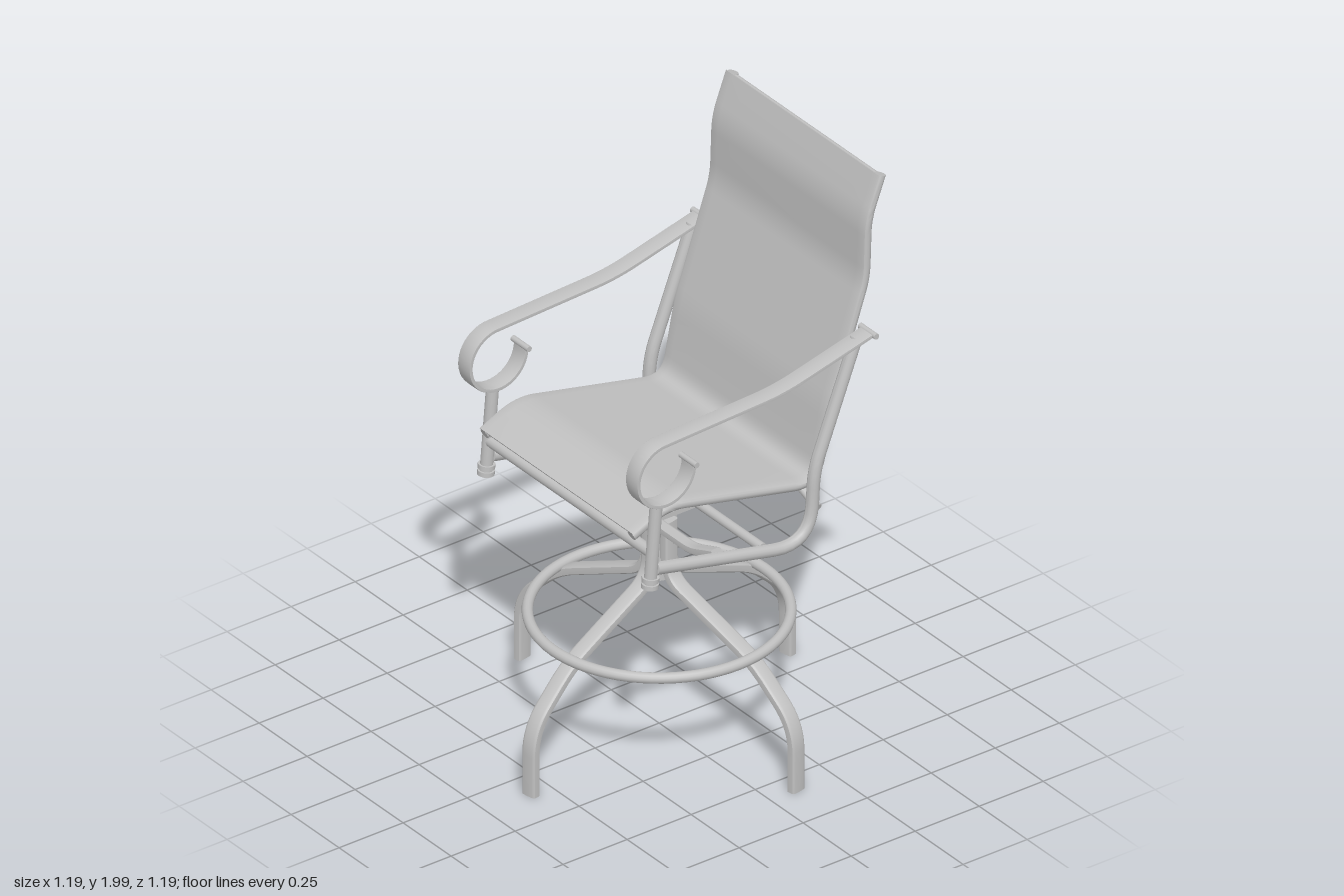
import * as THREE from 'three';
import { toCreasedNormals } from 'three/addons/utils/BufferGeometryUtils.js';

const metal = new THREE.MeshStandardMaterial({ color: 0xc0c0c0 });
metal.name = 'silver grey';

// Polyline [a, b, cut] with each corner rounded over the distance "cut"
function rounded(pts, cut = 0.05, steps = 8) {
  const v = pts.map(p => new THREE.Vector2(p[0], p[1]));
  const out = [v[0]];
  for (let i = 1; i < v.length - 1; i++) {
    const c = pts[i][2] ?? cut;
    const toward = q => v[i].clone().add(q.clone().sub(v[i]).setLength(c));
    const bend = new THREE.QuadraticBezierCurve(toward(v[i - 1]), v[i], toward(v[i + 1]));
    out.push(...bend.getPoints(steps));
  }
  out.push(v[v.length - 1]);
  return out;
}

// Sweep a capped section along a path in the xy plane; width runs along z.
// power 1 is an ellipse, smaller values approach a rectangle.
function sweep(path, halfWidth, halfThick, { power = 1, shift = 0, sides = 14 } = {}) {
  const pos = [], idx = [], n = path.length;
  const bulge = c => Math.sign(c) * Math.abs(c) ** power;
  path.forEach((p, i) => {
    const t = path[Math.min(i + 1, n - 1)].clone().sub(path[Math.max(i - 1, 0)]).normalize();
    for (let j = 0; j < sides; j++) {
      const a = j / sides * Math.PI * 2;
      const off = shift + halfThick * bulge(Math.sin(a));
      pos.push(p.x - t.y * off, p.y + t.x * off, halfWidth * bulge(Math.cos(a)));
    }
  });
  for (let j = 0; j < sides; j++) {
    const k = (j + 1) % sides, e = (n - 1) * sides;
    for (let i = 0; i < n - 1; i++) {
      const a = i * sides + j, b = i * sides + k;
      idx.push(a, a + sides, b, b, a + sides, b + sides);
    }
    if (j > 0 && j < sides - 1) idx.push(0, j, k, e, e + k, e + j);
  }
  const g = new THREE.BufferGeometry();
  g.setAttribute('position', new THREE.Float32BufferAttribute(pos, 3));
  g.setIndex(idx);
  return toCreasedNormals(g, 0.65);
}

// Same sweep with the path given as (z, y) and the width along x
const sideSweep = (...args) => sweep(...args).rotateY(-Math.PI / 2);

export function createModel() {
  const model = new THREE.Group();
  model.name = 'swivelBarChair';
  const add = (name, geometry, x = 0, y = 0, z = 0, parent = model) => {
    const m = new THREE.Mesh(geometry, metal);
    m.name = name;
    m.position.set(x, y, z);
    parent.add(m);
    return m;
  };
  const rod = (name, length, r, x, y, z) =>
    add(name, new THREE.CylinderGeometry(r, r, length, 14).rotateZ(Math.PI / 2), x, y, z);

  // Sling and its two bent rails share one profile, from the top to the front lip
  const profile = rounded([[-0.577, 1.985], [-0.522, 1.84], [-0.515, 1.63],
    [-0.375, 1.22], [-0.322, 0.948, 0.09], [0.26, 1.078, 0.07], [0.395, 1.015]]);
  add('sling', sideSweep(profile, 0.4, 0.003, { power: 0.2, shift: 0.017 }));
  rod('topBar', 0.76, 0.012, 0, 1.972, -0.574);

  // Arm: sloping band ending in a scroll
  const arm = rounded([[-0.485, 1.465], [-0.14, 1.378], [0.32, 1.357]], 0.08);
  for (let i = 1; i <= 32; i++) {
    const a = Math.PI / 2 - i / 32 * Math.PI * 1.5;
    arm.push(new THREE.Vector2(0.32 + 0.109 * Math.cos(a), 1.248 + 0.109 * Math.sin(a)));
  }
  const lower = rounded([[0.335, 0.895], [-0.27, 0.763, 0.15], [-0.285, 1.03, 0.06], [-0.45, 1.455]]);

  for (const s of [-1, 1]) {
    const side = s > 0 ? 'left' : 'right';
    add(side + 'SlingRail', sideSweep(profile, 0.017, 0.018), s * 0.383);
    add(side + 'LowerFrame', sideSweep(lower, 0.021, 0.021), s * 0.427);
    add(side + 'Arm', sideSweep(arm, 0.031, 0.007, { power: 0.25, sides: 16 }), s * 0.437);
    rod(side + 'ArmRearEnd', 0.085, 0.01, s * 0.437, 1.467, -0.49);
    rod(side + 'ArmScrollEnd', 0.085, 0.01, s * 0.437, 1.252, 0.211);

    // Front post with a ringed foot
    const post = new THREE.Group();
    post.name = side + 'FrontPost';
    post.position.set(s * 0.427, 0.83, 0.357);
    post.rotation.x = -0.085;
    model.add(post);
    add('postTube', new THREE.CylinderGeometry(0.021, 0.021, 0.31, 14), 0, 0.155, 0, post);
    for (const y of [0.012, 0.034])
      add('postRing', new THREE.CylinderGeometry(0.028, 0.028, 0.015, 16), 0, y, 0, post);
  }

  // Cross bars between the two sides
  rod('frontBar', 0.84, 0.02, 0, 0.955, 0.345);
  const arch = new THREE.QuadraticBezierCurve(new THREE.Vector2(-0.425, 0.885),
    new THREE.Vector2(0, 1.07), new THREE.Vector2(0.425, 0.885)).getPoints(28);
  add('rearArch', sweep(arch, 0.015, 0.015), 0, 0, -0.3);
  const dip = rounded([[-0.42, 0.86], [-0.3, 0.815], [0.3, 0.815], [0.42, 0.86]], 0.04);
  add('frontSeatSupport', sweep(dip, 0.02, 0.015, { power: 0.5 }), 0, 0, 0.09);
  rod('rearSeatSupport', 0.84, 0.016, 0, 0.812, -0.09);

  // Swivel
  add('swivelPlate', new THREE.BoxGeometry(0.12, 0.018, 0.22), 0, 0.791, 0);
  add('swivelPost', new THREE.CylinderGeometry(0.033, 0.033, 0.25, 20), 0, 0.665, 0);

  // Base: four bent legs and a foot ring
  const base = new THREE.Group();
  base.name = 'base';
  base.rotation.y = THREE.MathUtils.degToRad(10);
  model.add(base);
  const legPath = rounded([[0.043, 0.762], [0.043, 0.555, 0.07], [0.2, 0.487, 0.05],
    [0.41, 0.395, 0.07], [0.586, 0.235, 0.09], [0.586, 0]]);
  const leg = sweep(legPath, 0.028, 0.016, { power: 0.45, sides: 16 });
  for (let i = 0; i < 4; i++) add('leg', leg, 0, 0, 0, base).rotation.y = i * Math.PI / 2;
  add('footRing', new THREE.TorusGeometry(0.412, 0.018, 14, 72).rotateX(Math.PI / 2), 0, 0.415, 0, base);

  return model;
}
